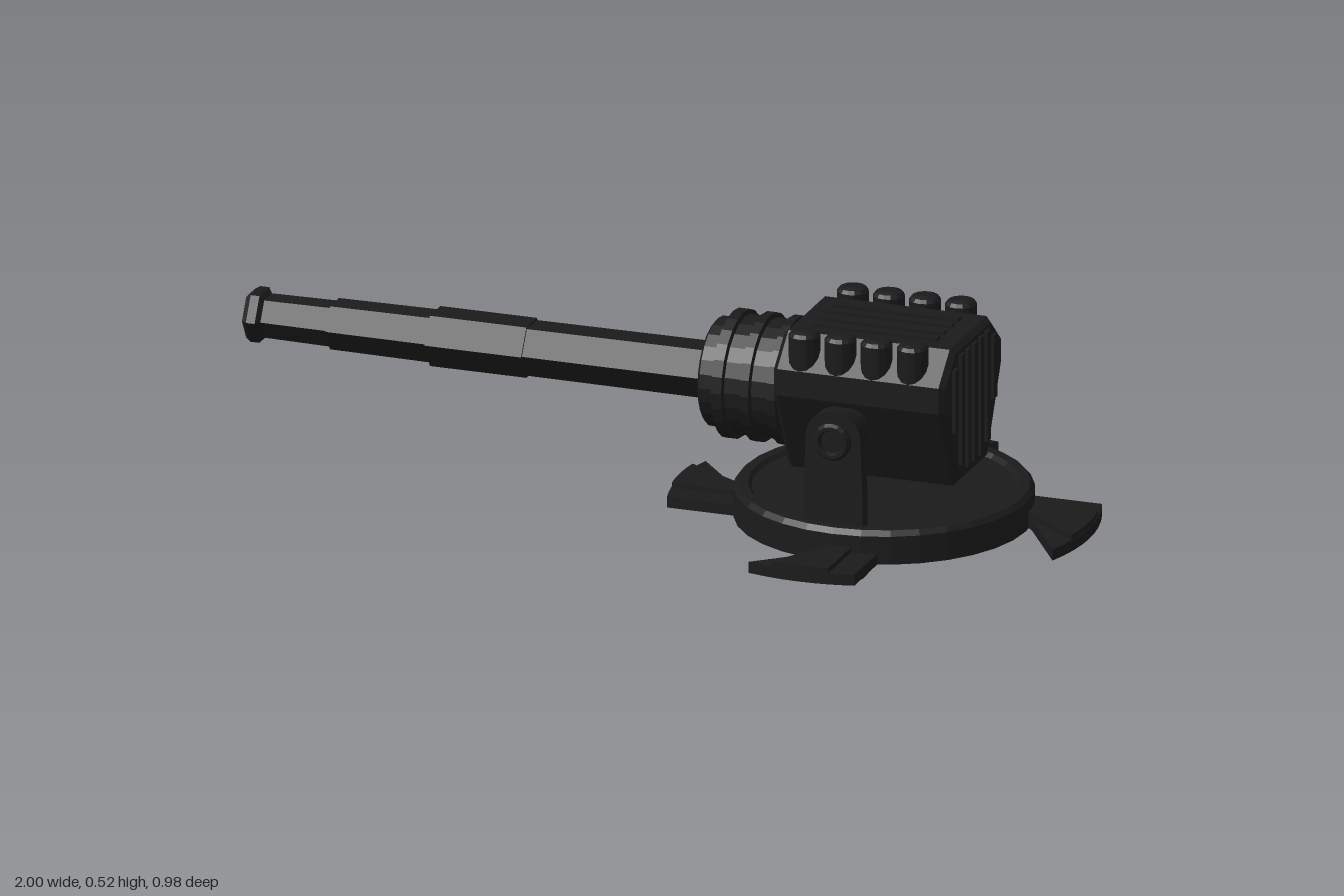
import * as THREE from 'three';

const dark = new THREE.MeshStandardMaterial({ color: 0x1b1b1b, flatShading: true });
const CX = 0.51;       // centre of the turntable
const PIVOT_X = 0.495; // axle position
const AXIS_Y = 0.342;  // height of the barrel axis

export function createModel() {
  const model = new THREE.Group();

  const add = (name, geometry, x = 0, y = 0, z = 0, parent = model) => {
    const mesh = new THREE.Mesh(geometry, dark);
    mesh.name = name;
    mesh.position.set(x, y, z);
    parent.add(mesh);
    return mesh;
  };
  const lathe = (pts, sides) =>
    new THREE.LatheGeometry(pts.map(([r, h]) => new THREE.Vector2(r, h)), sides);
  // Revolves [radius, x] points around the barrel axis
  const latheX = (pts, sides) => lathe(pts, sides).rotateZ(-Math.PI / 2);

  // Turntable with a raised rim
  add('turntable', lathe([
    [0, 0.05], [0.338, 0.05], [0.338, 0.116], [0.328, 0.128],
    [0.305, 0.128], [0.297, 0.118], [0, 0.118],
  ], 32), CX);

  // Feet: a curved-end plate with a raised centre panel
  const footPlate = (half, outer, height) => {
    const a = Math.asin(half / outer);
    const s = new THREE.Shape();
    s.moveTo(0.25, -half);
    s.absarc(0, 0, outer, -a, a, false);
    s.lineTo(0.25, half);
    s.closePath();
    return new THREE.ExtrudeGeometry(s, { depth: height, bevelEnabled: false, curveSegments: 4 })
      .rotateX(-Math.PI / 2);
  };
  [0.162, 0.126, 0.126, 0.126].forEach((half, i) => {
    const foot = new THREE.Group();
    foot.name = 'foot';
    foot.position.set(i % 2 ? 0.485 : CX, 0.05, 0);
    foot.rotation.y = i * Math.PI / 2;
    add('footPlate', footPlate(half, 0.488, 0.026), 0, 0, 0, foot);
    add('footPanel', footPlate(half * 0.54, 0.486, 0.038), 0, 0, 0, foot);
    model.add(foot);
  });

  // Yoke plates that carry the gun body
  const yoke = new THREE.Shape();
  yoke.moveTo(-0.07, 0);
  yoke.lineTo(0.07, 0);
  yoke.lineTo(0.07, 0.2);
  yoke.absarc(0, 0.325, 0.065, 0, Math.PI, false);
  yoke.lineTo(-0.07, 0.2);
  yoke.closePath();
  const yokeGeo = new THREE.ExtrudeGeometry(yoke, { depth: 0.034, bevelEnabled: false, curveSegments: 10 })
    .translate(0, 0, -0.017);
  for (const side of [-1, 1]) add('yokePlate', yokeGeo, PIVOT_X, 0, side * 0.276);

  // Axle with chamfered, dished ends
  add('axle', lathe([
    [0, -0.3], [0.026, -0.3], [0.03, -0.31], [0.038, -0.31], [0.044, -0.302],
    [0.044, 0.302], [0.038, 0.31], [0.03, 0.31], [0.026, 0.3], [0, 0.3],
  ], 16).rotateX(Math.PI / 2), PIVOT_X, 0.32, 0);

  // Gun body: faceted section run along x
  const half = [[0.1, 0.175], [0.194, 0.375], [0.194, 0.437], [0.12, 0.505]];
  const section = new THREE.Shape([
    ...half, ...half.map(([z, y]) => [-z, y]).reverse(),
  ].map(([z, y]) => new THREE.Vector2(z, y)));
  add('body', new THREE.ExtrudeGeometry(section, {
    depth: 0.384, bevelThickness: 0.012, bevelSize: 0.012, bevelOffset: -0.012, bevelSegments: 1,
  }).rotateY(Math.PI / 2), 0.326);

  // Ribs on the roof
  for (const z of [-0.069, -0.026, 0.026, 0.069]) {
    add('roofRib', new THREE.BoxGeometry(0.3, 0.016, 0.024), 0.515, 0.504, z);
  }

  // Vertical slats on the rear face, shortened near the sloping sides
  for (let i = -3; i <= 3; i++) {
    const z = i * 0.042;
    const bottom = 0.205 + Math.max(0, Math.abs(z) - 0.075) * 2.1;
    const top = 0.485 - Math.max(0, Math.abs(z) - 0.1) * 0.9;
    add('rearSlat', new THREE.BoxGeometry(0.014, top - bottom, 0.022), 0.723, (top + bottom) / 2, z);
  }

  // Upright canisters along both shoulders
  const canister = lathe([
    [0, 0.41], [0.036, 0.41], [0.036, 0.513], [0.03, 0.521], [0.018, 0.525], [0, 0.525],
  ], 14);
  for (const side of [-1, 1]) {
    for (let i = 0; i < 4; i++) add('canister', canister, 0.378 + i * 0.086, 0, side * 0.158);
  }

  // Ringed neck with a recessed collar
  const neck = [[0, 0.16], [0.088, 0.16], [0.088, 0.108], [0.118, 0.108], [0.125, 0.114], [0.125, 0.147]];
  for (const [a, b] of [[0.147, 0.178], [0.215, 0.242], [0.28, 0.305]]) {
    neck.push([0.136, a], [0.147, a + 0.003], [0.147, b - 0.003], [0.136, b]);
  }
  neck.push([0.136, 0.335], [0, 0.335]);
  add('neck', latheX(neck, 24), 0, AXIS_Y, 0);

  // Stepped six-sided barrel with a hollow muzzle
  add('barrel', latheX([
    [0, -0.9], [0.036, -0.9], [0.036, -1], [0.056, -1], [0.064, -0.988], [0.064, -0.967],
    [0.051, -0.958], [0.053, -0.8], [0.059, -0.8], [0.061, -0.56], [0.069, -0.56],
    [0.069, -0.33], [0.064, -0.33], [0.066, 0.17], [0, 0.17],
  ], 6), 0, AXIS_Y, 0);

  return model;
}
